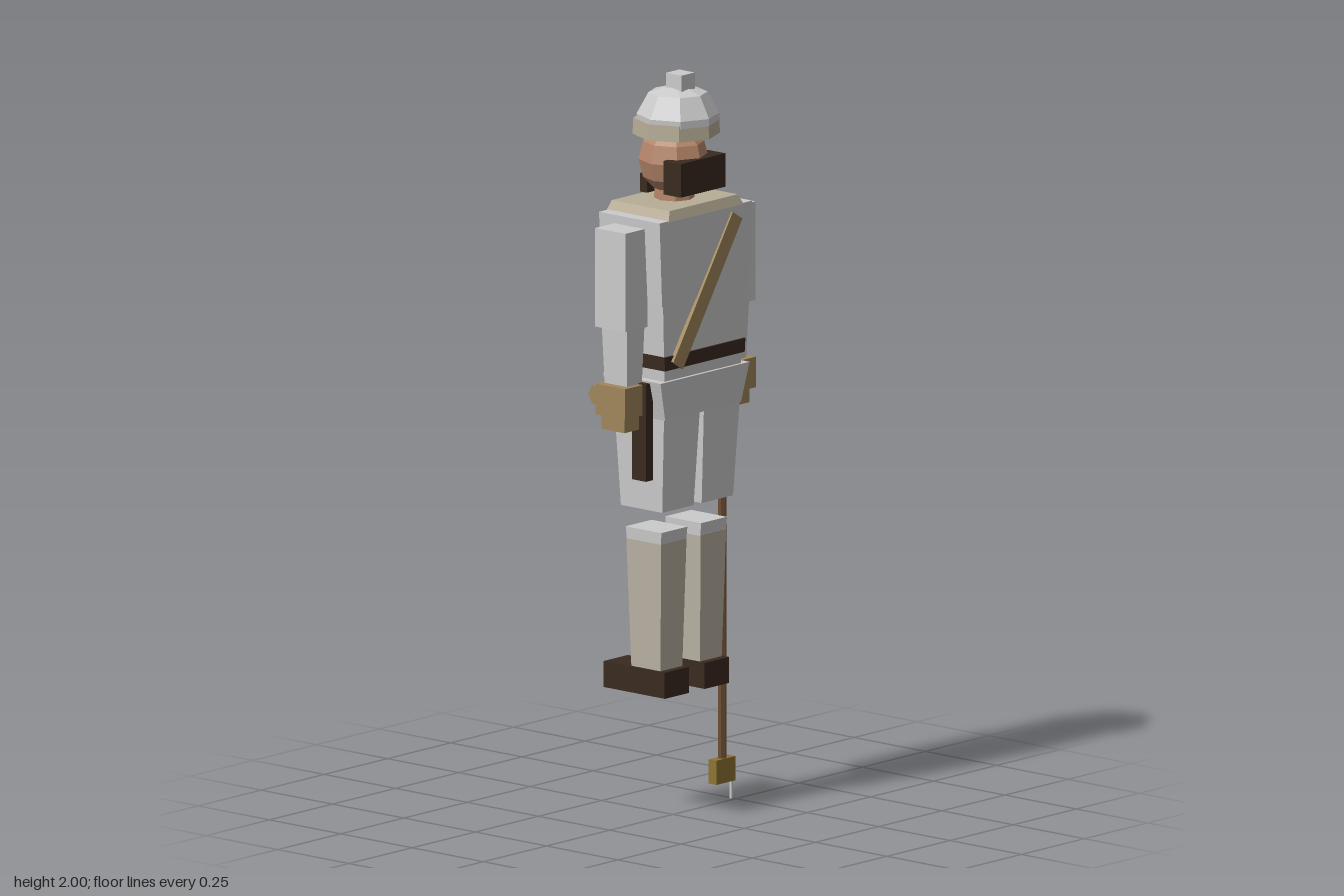
import * as THREE from 'three';

const mat = (color) => new THREE.MeshStandardMaterial({ color, flatShading: true });

export function createModel() {
  const model = new THREE.Group();
  const grey = mat(0xcccccc), leather = mat(0xa1875c), dark = mat(0x3a2a20), skin = mat(0xb5866a);
  const gaiterMat = mat(0xb8b1a3), brimMat = mat(0xb8ae98), wood = mat(0x6b4e34), brass = mat(0x8f7433);

  function add(name, geometry, material, x = 0, y = 0, z = 0) {
    const mesh = new THREE.Mesh(geometry, material);
    mesh.name = name;
    mesh.position.set(x, y, z);
    model.add(mesh);
    return mesh;
  }

  // Box with separate bottom and top outlines, each [x0, x1, z0, z1]
  function block(name, material, y0, bottom, y1, top = bottom) {
    const geometry = new THREE.BoxGeometry(1, 1, 1);
    const p = geometry.attributes.position;
    for (let i = 0; i < p.count; i++) {
      const up = p.getY(i) > 0, r = up ? top : bottom;
      p.setXYZ(i, p.getX(i) < 0 ? r[0] : r[1], up ? y1 : y0, p.getZ(i) < 0 ? r[2] : r[3]);
    }
    geometry.computeVertexNormals();
    return add(name, geometry, material);
  }

  // Same block on both sides of the body, outlines given for +x
  function pair(name, material, y0, bottom, y1, top = bottom) {
    const flip = ([a, b, c, d]) => [-b, -a, c, d];
    block('left' + name, material, y0, bottom, y1, top);
    block('right' + name, material, y0, flip(bottom), y1, flip(top));
  }

  const lathe = (pts) => new THREE.LatheGeometry(pts.map(([r, y]) => new THREE.Vector2(r, y)), 8);

  // Helmet
  add('helmetDome', lathe([[0, 1.87], [0.108, 1.87], [0.109, 1.89], [0.078, 1.947], [0, 1.97]]), grey, 0, 0, 0.018);
  add('helmetBrim', lathe([[0, 1.835], [0.115, 1.835], [0.113, 1.878], [0, 1.878]]), brimMat, 0, 0, 0.012);
  block('helmetKnob', grey, 1.95, [-0.026, 0.026, 0, 0.054], 2);

  // Head, beard and neck
  add('head', new THREE.SphereGeometry(0.096, 8, 6), skin, 0, 1.765, 0.003).scale.x = 0.93;
  add('neck', new THREE.CylinderGeometry(0.05, 0.055, 0.06, 8), skin, 0, 1.675, 0.005);
  block('beard', dark, 1.69, [-0.088, 0.088, 0.045, 0.106], 1.78);
  block('hairTail', dark, 1.665, [-0.02, 0.02, -0.097, -0.073], 1.715);

  // Torso
  block('collar', brimMat, 1.635, [-0.148, 0.148, -0.102, 0.117], 1.662, [-0.135, 0.135, -0.094, 0.108]);
  block('chest', grey, 1.41, [-0.17, 0.17, -0.093, 0.113], 1.638, [-0.183, 0.183, -0.097, 0.116]);
  block('waist', grey, 1.19, [-0.15, 0.15, -0.078, 0.104], 1.41, [-0.165, 0.165, -0.09, 0.112]);
  block('belt', dark, 1.235, [-0.158, 0.158, -0.086, 0.112], 1.272, [-0.16, 0.16, -0.088, 0.113]);
  block('jacketSkirt', grey, 1.1, [-0.15, 0.15, -0.078, 0.106], 1.205, [-0.176, 0.176, -0.09, 0.113]);
  for (const y of [1.43, 1.57]) block('backButton', dark, y - 0.008, [-0.008, 0.008, -0.101, -0.09], y + 0.008);

  // Shoulder strap, front and back
  for (const [name, z, x0, y0] of [['strapFront', 0.115, -0.115, 1.245], ['strapBack', -0.096, -0.03, 1.34]]) {
    const dx = 0.12 - x0, dy = 1.61 - y0;
    const strap = add(name, new THREE.BoxGeometry(0.045, Math.hypot(dx, dy), 0.012), leather, x0 + dx / 2, y0 + dy / 2, z);
    strap.rotation.z = -Math.atan2(dx, dy);
  }

  // Satchel on the back, pouch, canister and scabbard at the hips
  block('satchel', leather, 1.055, [-0.14, 0.14, -0.106, -0.078], 1.365);
  block('hipPouch', wood, 1.105, [0.13, 0.175, -0.085, -0.05], 1.185);
  add('canister', new THREE.CylinderGeometry(0.028, 0.028, 0.075, 6), leather, -0.185, 1.155, -0.072).rotation.z = Math.PI / 2;
  block('scabbard', dark, 0.938, [-0.19, -0.163, 0.025, 0.074], 1.2);

  // Arms and hands
  pair('UpperArm', grey, 1.35, [0.17, 0.258, -0.044, 0.062], 1.615);
  pair('Forearm', grey, 1.18, [0.178, 0.235, -0.03, 0.048], 1.355, [0.172, 0.242, -0.035, 0.053]);
  pair('Cuff', leather, 1.115, [0.166, 0.259, -0.042, 0.062], 1.197);
  pair('Hand', leather, 1.075, [0.176, 0.248, -0.03, 0.05], 1.12);

  // Legs
  pair('Thigh', grey, 0.848, [0.016, 0.14, -0.058, 0.087], 1.11, [0.008, 0.15, -0.072, 0.102]);
  pair('Knee', grey, 0.755, [0.028, 0.128, -0.048, 0.072], 0.79, [0.027, 0.13, -0.05, 0.075]);
  pair('Gaiter', gaiterMat, 0.41, [0.035, 0.121, -0.038, 0.064], 0.758, [0.028, 0.129, -0.049, 0.073]);
  pair('Shoe', dark, 0.345, [0.031, 0.127, -0.13, 0.084], 0.415);

  // Staff held head down in the left hand
  add('staff', new THREE.CylinderGeometry(0.012, 0.012, 1.03, 6), wood, 0.21, 0.605, -0.013);
  block('staffHead', brass, 0.05, [0.172, 0.248, -0.027, 0], 0.115);
  block('staffSpike', grey, 0, [0.243, 0.25, -0.017, -0.01], 0.06);

  return model;
}
